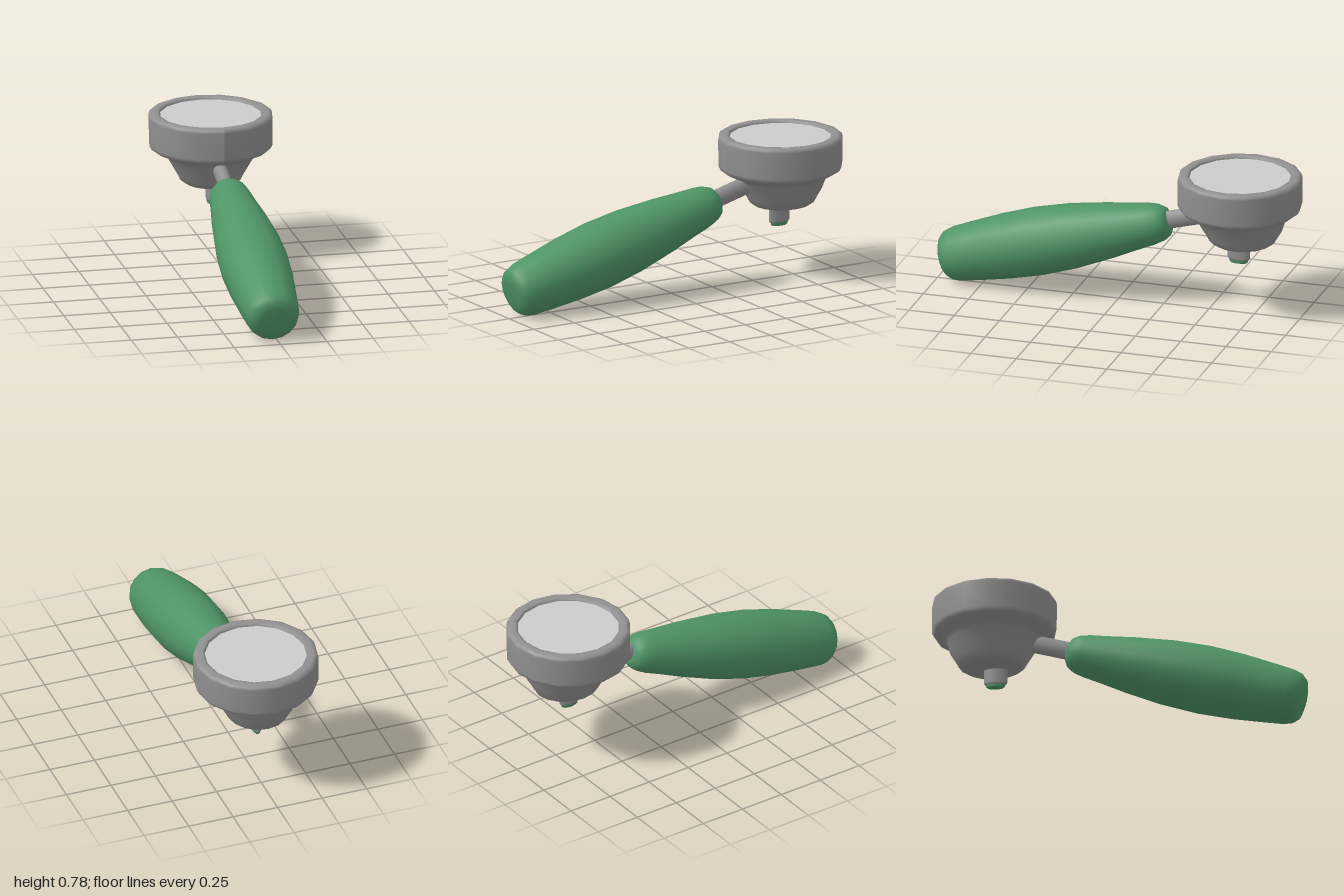
import * as THREE from 'three';

const SIDES = 16;
const steel = new THREE.MeshStandardMaterial({ color: 0x909090 });
const lightSteel = new THREE.MeshStandardMaterial({ color: 0xcccccc });
const green = new THREE.MeshStandardMaterial({ color: 0x4f9467 });

// Revolved part from [radius, height] pairs, listed from bottom to top
function lathe(name, profile, material, sides = SIDES) {
  const points = profile.map(([r, y]) => new THREE.Vector2(r, y));
  const mesh = new THREE.Mesh(new THREE.LatheGeometry(points, sides), material);
  mesh.name = name;
  return mesh;
}

// Stands a part on `from` with its y axis pointing along `dir`
function aim(mesh, from, dir) {
  mesh.position.copy(from);
  mesh.quaternion.setFromUnitVectors(new THREE.Vector3(0, 1, 0), dir);
  return mesh;
}

export function createModel() {
  const model = new THREE.Group();
  model.name = 'filterHolder';

  // Cup: rounded collar above a stepped bowl, with a shallow recess on top
  const cup = lathe('cup', [
    [0, 0.392], [0.08, 0.394], [0.135, 0.403], [0.16, 0.42], [0.175, 0.45],
    [0.2, 0.495], [0.23, 0.548], [0.25, 0.567], [0.29, 0.586], [0.318, 0.6],
    [0.33, 0.622], [0.331, 0.765], [0.326, 0.78], [0.31, 0.787],
    [0.282, 0.787], [0.271, 0.782], [0.268, 0.765],
  ], steel);
  // The bowl is slightly longer from front to back than it is wide
  const p = cup.geometry.attributes.position;
  for (let i = 0; i < p.count; i++) {
    const k = THREE.MathUtils.clamp((0.6 - p.getY(i)) / 0.1, 0, 1);
    p.setZ(i, p.getZ(i) * (1 + 0.1 * k) - 0.012 * k);
  }
  cup.geometry.computeVertexNormals();
  cup.position.z = -0.67;
  model.add(cup);

  // Flat filling inside the rim
  const disc = new THREE.Mesh(new THREE.CircleGeometry(0.27, SIDES), lightSteel);
  disc.name = 'filterDisc';
  disc.rotation.x = -Math.PI / 2;
  disc.position.set(0, 0.773, -0.67);
  model.add(disc);

  // Flattened spout with a green tip
  const spout = new THREE.Group();
  spout.name = 'spout';
  const pipe = lathe('spoutPipe', [[0, 0.308], [0.055, 0.308], [0.0625, 0.318], [0.0625, 0.42]], steel, 12);
  const tip = lathe('spoutTip', [[0, 0.29], [0.042, 0.29], [0.05, 0.297], [0.052, 0.315]], green, 12);
  spout.add(pipe, tip);
  spout.scale.x = 0.42;
  spout.position.z = -0.663;
  model.add(spout);

  // Handle: swelling grip, tilted down towards the front
  const front = new THREE.Vector3(-0.023, 0.13, 0.973);
  const back = new THREE.Vector3(-0.002, 0.48, -0.285);
  const dir = back.clone().sub(front).normalize();
  const handle = lathe('handle', [
    [0, 0], [0.075, 0.002], [0.11, 0.012], [0.132, 0.035], [0.146, 0.08],
    [0.157, 0.18], [0.174, 0.36], [0.182, 0.55], [0.173, 0.75], [0.148, 0.96],
    [0.126, 1.1], [0.112, 1.2], [0.1, 1.25], [0.08, 1.285], [0.05, 1.303], [0, 1.306],
  ], green);
  model.add(aim(handle, front, dir));

  // Oval rod joining the handle to the cup
  const rod = lathe('rod', [[0.05, -0.06], [0.05, 0.22]], steel, 12);
  rod.scale.x = 0.74;
  model.add(aim(rod, back.clone().add(new THREE.Vector3(0, 0.008, 0)), dir));

  return model;
}
